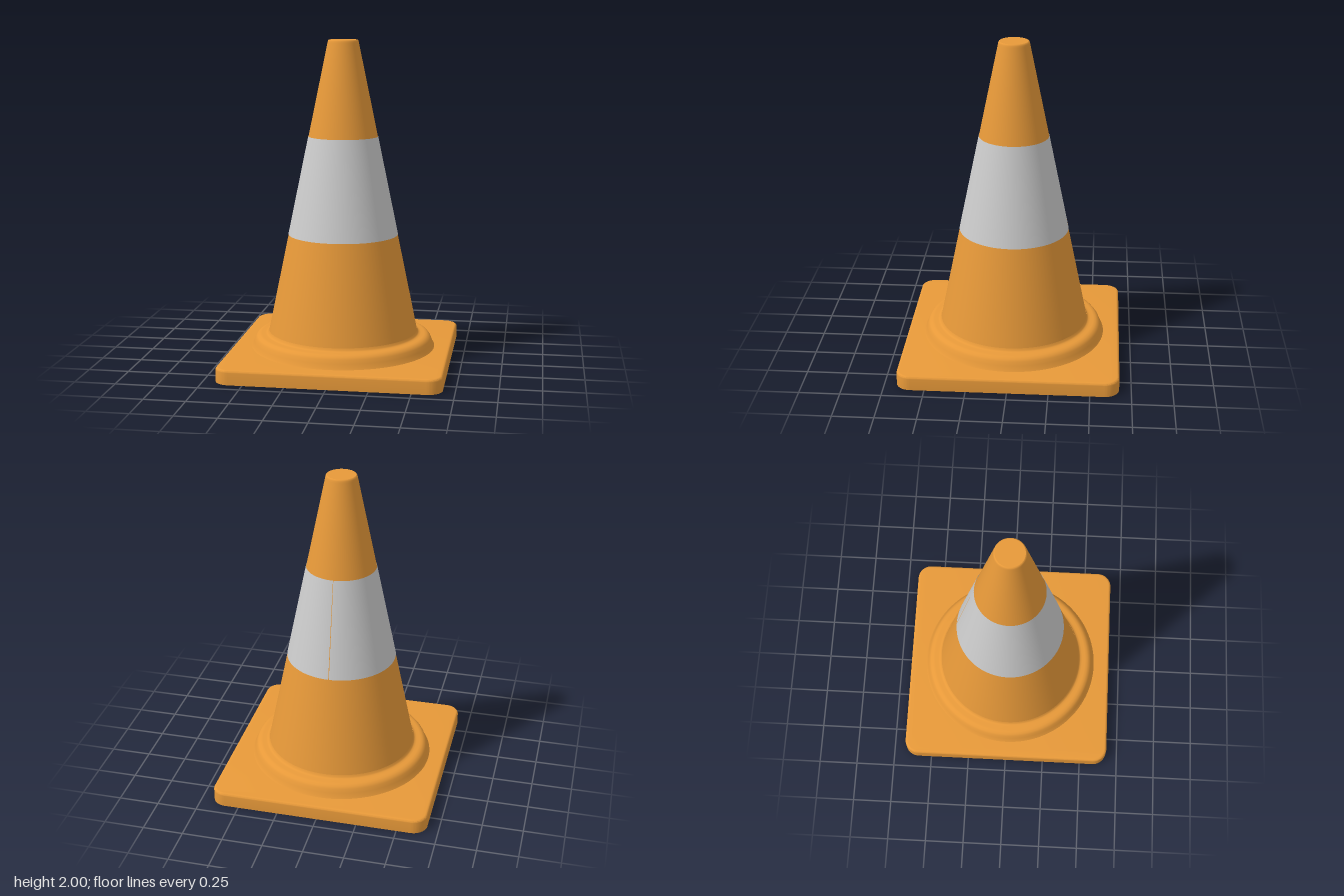
import * as THREE from 'three';
import { toCreasedNormals } from 'three/addons/utils/BufferGeometryUtils.js';

const SEGMENTS = 96;
const orange = new THREE.MeshStandardMaterial({ color: 0xe79939 });
const grey = new THREE.MeshStandardMaterial({ color: 0xcccccc, side: THREE.DoubleSide });

// Cone wall: radius at a given height
const coneRadius = (y) => THREE.MathUtils.mapLinear(y, 0.18, 1.99, 0.467, 0.094);

function lathe(name, points, material, start = 0, length = Math.PI * 2) {
  const profile = points.map(([r, y]) => new THREE.Vector2(r, y));
  const mesh = new THREE.Mesh(new THREE.LatheGeometry(profile, SEGMENTS, start, length), material);
  mesh.name = name;
  return mesh;
}

// Square plate with rounded corners, softened top rim and flat underside
function basePlate() {
  const h = 0.677, r = 0.09, bevel = 0.016;
  const shape = new THREE.Shape();
  shape.absarc(h - r, h - r, r, 0, Math.PI / 2);
  shape.absarc(r - h, h - r, r, Math.PI / 2, Math.PI);
  shape.absarc(r - h, r - h, r, Math.PI, Math.PI * 1.5);
  shape.absarc(h - r, r - h, r, Math.PI * 1.5, Math.PI * 2);
  shape.closePath();
  const geometry = new THREE.ExtrudeGeometry(shape, {
    depth: 0.09 - bevel, bevelThickness: bevel, bevelSize: bevel,
    bevelOffset: -bevel, bevelSegments: 4, curveSegments: 12,
  });
  geometry.rotateX(-Math.PI / 2);
  const pos = geometry.attributes.position;
  for (let i = 0; i < pos.count; i++) pos.setY(i, Math.max(0, pos.getY(i)));
  const mesh = new THREE.Mesh(toCreasedNormals(geometry, 0.7), orange);
  mesh.name = 'basePlate';
  return mesh;
}

export function createModel() {
  const group = new THREE.Group();
  group.name = 'trafficCone';
  group.add(basePlate());

  // Rounded collar flowing from the plate into the cone
  group.add(lathe('collar', [
    [0.576, 0.088], [0.568, 0.1], [0.559, 0.122], [0.55, 0.145], [0.54, 0.158],
    [0.526, 0.167], [0.51, 0.17], [0.49, 0.171], [0.478, 0.174], [0.471, 0.18], [0.466, 0.192],
  ], orange));

  // Cone wall with a slightly rounded lip, and its flat top
  group.add(lathe('coneBody', [[coneRadius(0.17), 0.17], [coneRadius(1.98), 1.98]], orange));
  group.add(lathe('topLip', [
    [coneRadius(1.98), 1.98], [coneRadius(1.99), 1.99], [0.091, 1.997], [0.086, 2],
  ], orange));
  const top = new THREE.Mesh(new THREE.CircleGeometry(0.086, SEGMENTS), orange);
  top.rotation.x = -Math.PI / 2;
  top.position.y = 2;
  top.name = 'coneTop';
  group.add(top);

  // Reflective sleeve with a thin seam at the back
  const gap = 0.012;
  group.add(lathe('reflectiveBand', [0.8, 1.41].map((y) => [coneRadius(y) + 0.002, y]),
    grey, Math.PI + gap / 2, Math.PI * 2 - gap));
  return group;
}
